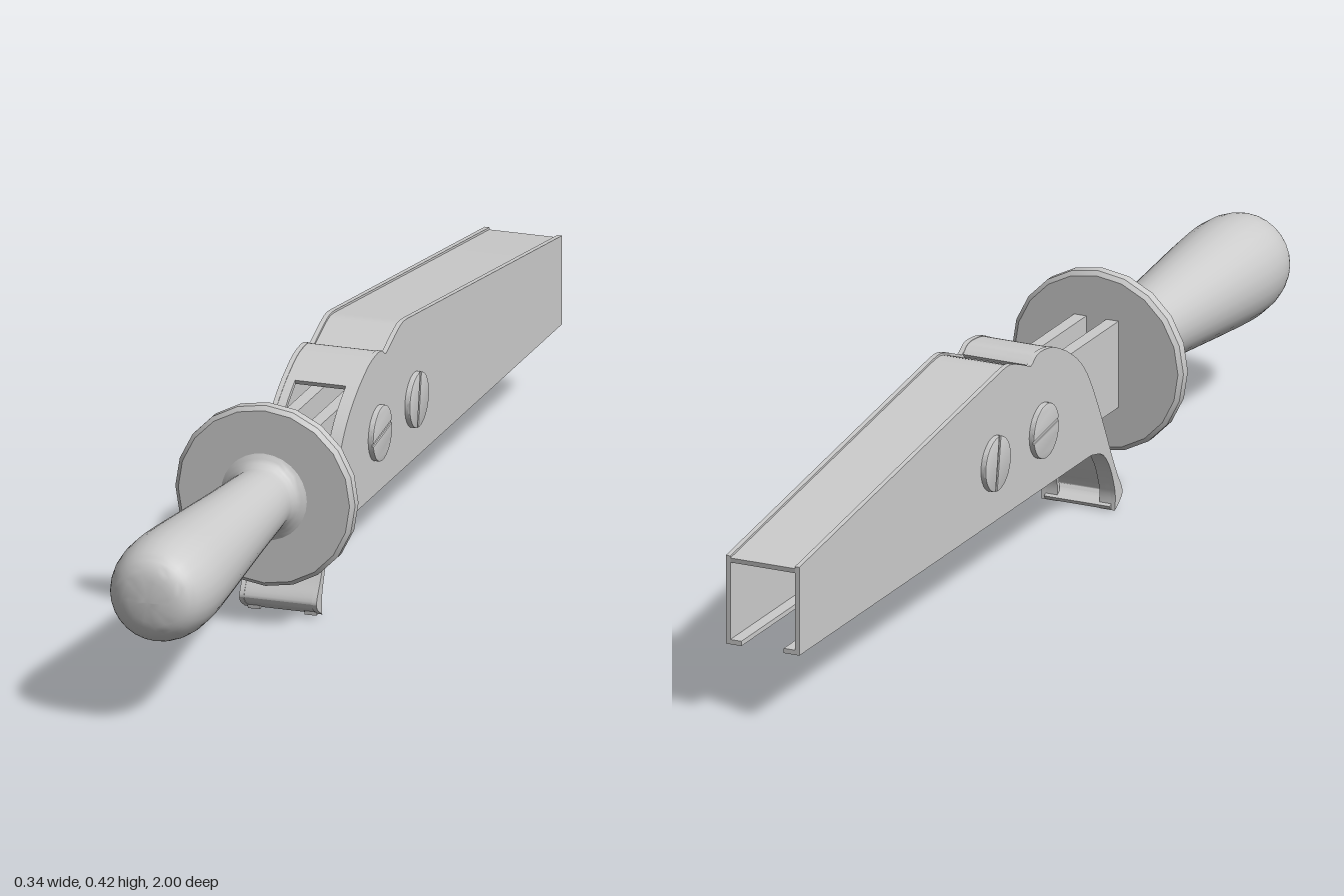
import * as THREE from 'three';
import { toCreasedNormals } from 'three/addons/utils/BufferGeometryUtils.js';

const material = new THREE.MeshStandardMaterial({ color: 0xcccccc, side: THREE.DoubleSide });
const HALF = 0.073; // half width of the casing
const AXIS = 0.25; // height of the handle axis and screws

const points = (list) => list.map(([z, y]) => new THREE.Vector2(z, y));
const spline = (list, n) => new THREE.SplineCurve(points(list)).getPoints(n);

function add(group, name, geometry, crease = 0.6) {
  const mesh = new THREE.Mesh(toCreasedNormals(geometry, crease), material);
  mesh.name = name;
  group.add(mesh);
  return mesh;
}

// Extrudes a (z, y) side outline across x from x0 to x1
function across(outline, x0, x1) {
  const geometry = new THREE.ExtrudeGeometry(new THREE.Shape(outline), { depth: x1 - x0, bevelEnabled: false });
  return geometry.rotateY(-Math.PI / 2).translate(x1, 0, 0);
}

// Shifts a path to its right-hand side by distance d
function offset(path, d) {
  return path.map((p, i) => {
    const a = path[Math.max(i - 1, 0)];
    const b = path[Math.min(i + 1, path.length - 1)];
    const t = b.clone().sub(a).normalize();
    return new THREE.Vector2(p.x + t.y * d, p.y - t.x * d);
  });
}

// Sheet-metal strip that follows a path just inside the casing outline
function strip(path, x0, x1, inset = 0.004, thickness = 0.009) {
  return across([...offset(path, inset), ...offset(path, inset + thickness).reverse()], x0, x1);
}

function box(group, name, x0, x1, y0, y1, z0, z1) {
  const g = new THREE.BoxGeometry(x1 - x0, y1 - y0, z1 - z0);
  add(group, name, g.translate((x0 + x1) / 2, (y0 + y1) / 2, (z0 + z1) / 2));
}

function buildCasing() {
  const casing = new THREE.Group();
  casing.name = 'casing';

  // Outline pieces, running clockwise from the rear top
  const roof = [...points([[-1, 0.305]]),
    ...spline([[-0.18, 0.414], [-0.15, 0.415], [-0.115, 0.405], [-0.065, 0.385]], 10)];
  const hump = spline([[-0.06, 0.385], [-0.04, 0.398], [-0.01, 0.399], [0.03, 0.391], [0.08, 0.368]], 14);
  const brow = spline([[0.08, 0.368], [0.125, 0.338], [0.165, 0.297], [0.205, 0.23], [0.24, 0.16]], 14);
  const trigger = spline([[0.24, 0.16], [0.265, 0.108], [0.286, 0.068], [0.305, 0.036], [0.301, 0.02], [0.275, 0.003]], 18);
  const hook = spline([[0.275, 0.003], [0.277, 0.03], [0.27, 0.058], [0.253, 0.095], [0.225, 0.125], [0.18, 0.138]], 18);
  const bottom = points([[0.18, 0.138], [-1, 0.138]]);

  // Side plates
  const outline = [roof, hump, brow, trigger, hook, bottom].flatMap((part, i) => (i ? part.slice(1) : part));
  add(casing, 'leftSidePlate', across(outline, HALF - 0.009, HALF));
  add(casing, 'rightSidePlate', across(outline, -HALF, -HALF + 0.009));

  // Roof, hump and front web close the casing over its whole width
  const inner = HALF - 0.008;
  add(casing, 'roof', strip(roof, -inner, inner));
  add(casing, 'hump', strip(hump, -inner, inner, 0.001));
  add(casing, 'triggerWeb', strip(trigger, -inner, inner, 0.001, 0.008));

  // Narrow flanges beside the front opening and the long bottom slot
  for (const [side, x0, x1] of [['left', 0.042, inner], ['right', -inner, -0.042]]) {
    add(casing, side + 'BrowFlange', strip(brow, x0 + (x0 > 0 ? 0.006 : 0), x1 - (x0 < 0 ? 0.006 : 0), 0.001));
    add(casing, side + 'HookFlange', strip(hook, x0, x1, 0, 0.008));
    add(casing, side + 'BottomFlange', strip(bottom, x0, x1, 0));
  }
  return casing;
}

// Round screw head with a slot across it, lying on the +x side
function buildScrew(angle) {
  const screw = new THREE.Group();
  const r = 0.051;
  const a = Math.asin(0.005 / r);
  add(screw, 'screwBase', new THREE.CylinderGeometry(r, r, 0.008, 28).rotateZ(Math.PI / 2).translate(0.003, 0, 0));
  for (const turn of [0, Math.PI]) {
    const half = new THREE.Shape();
    half.absarc(0, 0, r - 0.002, a, Math.PI - a);
    const g = new THREE.ExtrudeGeometry(half, {
      depth: 0.002, bevelThickness: 0.002, bevelSize: 0.002, bevelSegments: 2, curveSegments: 18,
    });
    add(screw, 'screwHalf', g.rotateZ(turn + angle).rotateY(Math.PI / 2).translate(0.006, 0, 0));
  }
  return screw;
}

export function createModel() {
  const model = new THREE.Group();
  model.name = 'tool';
  model.add(buildCasing());

  // Screws on both sides
  for (const [name, z, angle] of [['frontScrew', -0.02, 0.15], ['rearScrew', -0.215, Math.PI / 2 - 0.15]]) {
    for (const side of [1, -1]) {
      const screw = buildScrew(angle);
      screw.name = (side > 0 ? 'left' : 'right') + name[0].toUpperCase() + name.slice(1);
      screw.position.set(side * HALF, AXIS, z);
      if (side < 0) screw.rotation.y = Math.PI;
      model.add(screw);
    }
  }

  // Forked tang that carries the handle
  const tang = new THREE.Group();
  tang.name = 'tang';
  box(tang, 'leftProng', 0.02, 0.044, 0.17, 0.333, -0.27, 0.36);
  box(tang, 'rightProng', -0.044, -0.02, 0.17, 0.333, -0.27, 0.36);
  box(tang, 'tangFloor', -0.02, 0.02, 0.17, 0.185, -0.27, 0.36);
  model.add(tang);

  // Round guard
  const guard = points([[0, 0.349], [0.162, 0.349], [0.17, 0.355], [0.17, 0.373], [0.162, 0.38], [0, 0.38]]);
  add(model, 'guard', new THREE.LatheGeometry(guard, 20).rotateX(Math.PI / 2).translate(0, AXIS, 0), 0.5);

  // Handle with a flared neck and a rounded end
  const grip = spline([[0.085, 0.378], [0.069, 0.388], [0.061, 0.405], [0.063, 0.44], [0.072, 0.56], [0.084, 0.7],
    [0.094, 0.82], [0.0965, 0.885], [0.092, 0.935], [0.078, 0.972], [0.05, 0.993], [0, 1]], 44);
  grip[grip.length - 1].x = 0;
  add(model, 'handle', new THREE.LatheGeometry(grip, 28).rotateX(Math.PI / 2).translate(0, AXIS, 0), 0.8);

  return model;
}
